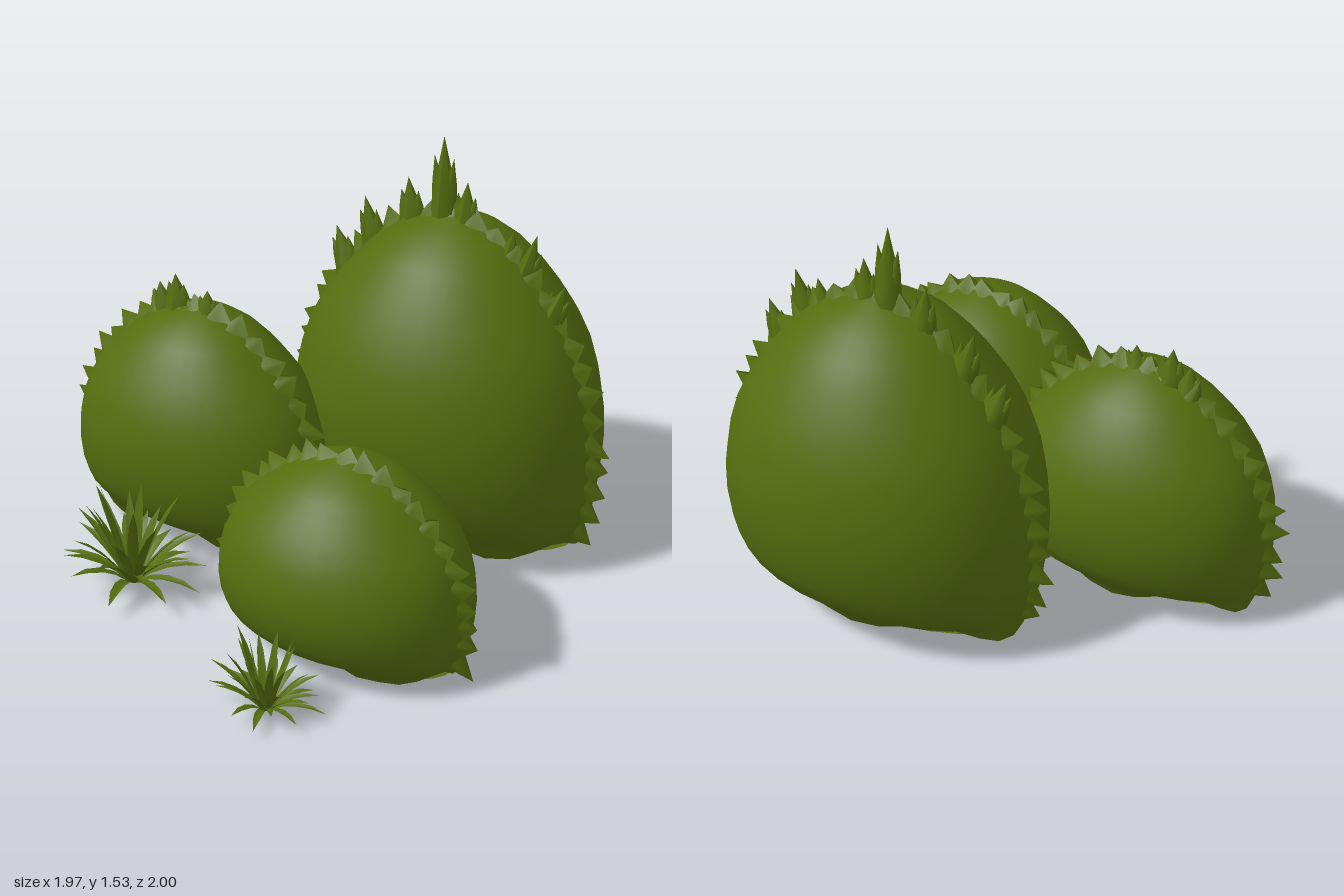
import * as THREE from 'three';
import { mergeGeometries } from 'three/addons/utils/BufferGeometryUtils.js';

const leafGreen = new THREE.MeshStandardMaterial({ color: 0x566c0f, side: THREE.DoubleSide });
leafGreen.name = 'leafGreen';

// Shared bush profile: width and depth as a share of the largest, against height
const heights = [0, 0.13, 0.37, 0.6, 0.78, 0.93, 1];
const profileOf = shares => new THREE.SplineCurve(shares.map((s, i) => new THREE.Vector2(s, heights[i])));
const widthProfile = profileOf([0.93, 1, 1, 0.89, 0.67, 0.38, 0.04]);
const depthProfile = profileOf([0.54, 0.86, 1, 0.93, 0.72, 0.42, 0.03]);

function makeRandom(seed) {
  return () => (seed = (seed * 16807) % 2147483647) / 2147483647;
}

function indexedGeometry(positions, index) {
  const g = new THREE.BufferGeometry();
  g.setAttribute('position', new THREE.Float32BufferAttribute(positions, 3));
  g.setIndex(index);
  g.computeVertexNormals();
  return g;
}

function namedMesh(geometry, name) {
  const m = new THREE.Mesh(geometry, leafGreen);
  m.name = name;
  return m;
}

// Smooth body lofted from elliptical rings
function bushBody({ x, z, bottom, top, width, depth }) {
  const steps = 14, sides = 32, pos = [], idx = [];
  for (let i = 0; i <= steps; i++) {
    const w = widthProfile.getPoint(i / steps), d = depthProfile.getPoint(i / steps).x;
    for (let j = 0; j < sides; j++) {
      const a = (j / sides) * Math.PI * 2;
      // ragged hem along the ground
      const hem = i === 0 ? 0.035 * Math.sin(a * 5) - 0.015 : 0;
      const y = bottom + w.y * (top - bottom) + hem;
      pos.push(x + Math.cos(a) * w.x * width, Math.max(y, 0.015), z + Math.sin(a) * d * depth);
      if (i < steps) {
        const p = i * sides + j, q = i * sides + (j + 1) % sides;
        idx.push(p, p + sides, q, q, p + sides, q + sides);
      }
    }
  }
  return namedMesh(indexedGeometry(pos, idx), 'foliageBody');
}

// Flat floor closing the bush
function bushUnderside({ x, z, bottom, width, depth }) {
  const g = new THREE.CircleGeometry(1, 32);
  g.rotateX(Math.PI / 2);
  g.scale(width * 0.93, 1, depth * 0.54);
  g.translate(x, bottom, z);
  return namedMesh(g, 'underside');
}

// Jagged crest of leaf tips around the widest section, thick at its root
function leafCrest({ x, z, bottom, top, width, teeth, toothLength, seed }) {
  const rand = makeRandom(seed), group = new THREE.Group();
  group.name = 'leafCrest';
  const place = (p, side) => new THREE.Vector3(x + side * p.x * width, bottom + p.y * (top - bottom), 0);
  const climb = widthProfile.points.map(p => place(p, -1));
  const descend = widthProfile.points.map(p => place(p, 1)).reverse();
  const arch = new THREE.CatmullRomCurve3([...climb, ...descend]);
  const centre = new THREE.Vector3(x, bottom + 0.38 * (top - bottom), 0);
  const rim = [], root = [];
  for (let i = 0; i <= teeth * 2; i++) {
    const isTip = i % 2 === 1, u = i / (teeth * 2);
    const p = arch.getPointAt(u);
    const out = p.clone().sub(centre).normalize();
    root.push(p.clone().lerp(centre, 0.07));
    // teeth lean at random and shorten towards the crown
    const reach = isTip ? toothLength * (0.65 + 0.5 * rand()) * (1 - 0.35 * Math.sin(u * Math.PI)) : 0.005;
    const tip = p.clone().addScaledVector(out, reach);
    if (isTip) tip.addScaledVector(arch.getTangentAt(u), (rand() - 0.5) * 0.06);
    tip.y = Math.max(tip.y, 0.01);
    rim.push(tip);
  }
  for (const s of [1, -1]) {
    const pos = [], idx = [];
    rim.forEach((p, i) => {
      pos.push(p.x, p.y, z, root[i].x, root[i].y, z + s * 0.055);
      if (i) {
        const a = 2 * i - 2;
        if (s > 0) idx.push(a, a + 2, a + 1, a + 2, a + 3, a + 1);
        else idx.push(a, a + 1, a + 2, a + 2, a + 1, a + 3);
      }
    });
    group.add(namedMesh(indexedGeometry(pos, idx), s > 0 ? 'crestFront' : 'crestBack'));
  }
  return group;
}

// Tall pointed shoots standing on the crown, each with two small side barbs
function crownShoot(tipX, tipY, length, lean, z) {
  const shape = new THREE.Group();
  shape.name = 'crownShoot';
  const spike = (radius, height, dx, y, tilt) => {
    const g = new THREE.CylinderGeometry(0, radius, height, 6, 2);
    const p = g.attributes.position;
    // swell the middle so the shoot tapers like a leaf
    for (let i = 0; i < p.count; i++) {
      if (Math.abs(p.getY(i)) < 0.001) p.setXYZ(i, p.getX(i) * 1.3, 0, p.getZ(i) * 1.1);
    }
    g.computeVertexNormals();
    const m = namedMesh(g, 'leafSpike');
    m.position.set(dx, y, 0);
    m.rotation.z = tilt;
    shape.add(m);
  };
  spike(0.06, length, 0, -length / 2, 0);
  for (const s of [-1, 1]) spike(0.03, length * 0.5, s * 0.028, -length * 0.45, -s * 0.12);
  shape.position.set(tipX, tipY, z);
  shape.rotation.z = lean;
  return shape;
}

function bush(spec) {
  const group = new THREE.Group();
  group.name = spec.name;
  group.add(bushBody(spec), bushUnderside(spec), leafCrest(spec));
  for (const [x, y, length] of spec.shoots) {
    group.add(crownShoot(x, y, length, (spec.x - x) * 0.7, spec.z));
  }
  return group;
}

// Folded, curving grass blade
function bladeGeometry(length, width, lean, turn) {
  const pos = [], idx = [], n = 4;
  for (let i = 0; i <= n; i++) {
    const t = i / n, bend = lean * (0.75 + 0.4 * t);
    const out = 0.02 + Math.sin(bend) * length * t, up = Math.cos(bend) * length * t;
    const w = width * (i === n ? 0 : 0.55 + 1.8 * t * (1 - t) - 0.35 * t);
    pos.push(out, up + w * 0.4, -w, out, up, 0, out, up + w * 0.4, w);
    if (i === n) continue;
    for (let a = i * 3; a < i * 3 + 2; a++) idx.push(a, a + 1, a + 3, a + 1, a + 4, a + 3);
  }
  return indexedGeometry(pos, idx).rotateY(turn);
}

function grassTuft(name, x, y, z, reach, height, seed) {
  const rand = makeRandom(seed), blades = [], count = 34;
  for (let i = 0; i < count; i++) {
    const inner = i / count;
    const lean = 1.3 - 1.15 * inner + (rand() - 0.5) * 0.15;
    const length = (reach + (height - reach) * inner * inner) * (0.8 + 0.2 * rand());
    blades.push(bladeGeometry(length, reach * 0.085, lean, i * 2.4 + rand() * 0.3));
  }
  const m = namedMesh(mergeGeometries(blades), name);
  m.position.set(x, y, z);
  m.scale.z = 0.8;
  return m;
}

export function createModel() {
  const model = new THREE.Group();
  model.name = 'shrubCluster';
  model.add(
    bush({
      name: 'tallBackBush', x: 0.31, z: -0.5, bottom: 0.08, top: 1.25, width: 0.59, depth: 0.485,
      teeth: 31, toothLength: 0.085, seed: 7,
      shoots: [[-0.18, 1.07, 0.22], [-0.06, 1.22, 0.26], [0.12, 1.34, 0.24], [0.26, 1.53, 0.38],
        [0.36, 1.38, 0.24], [0.55, 1.24, 0.2], [0.64, 1.25, 0.28], [0.76, 1.09, 0.22]],
    }),
    bush({
      name: 'leftBush', x: -0.41, z: 0.03, bottom: 0.07, top: 0.9, width: 0.5, depth: 0.365,
      teeth: 25, toothLength: 0.09, seed: 19,
      shoots: [[-0.59, 0.95, 0.16], [-0.52, 1, 0.18], [-0.38, 0.97, 0.14]],
    }),
    bush({
      name: 'rightFrontBush', x: 0.435, z: 0.37, bottom: 0.04, top: 0.73, width: 0.465, depth: 0.375,
      teeth: 25, toothLength: 0.08, seed: 43,
      shoots: [],
    }),
    grassTuft('leftGrassTuft', -0.37, 0.02, 0.53, 0.3, 0.45, 11),
    grassTuft('rightGrassTuft', 0.43, 0, 0.85, 0.21, 0.33, 29),
  );
  return model;
}
